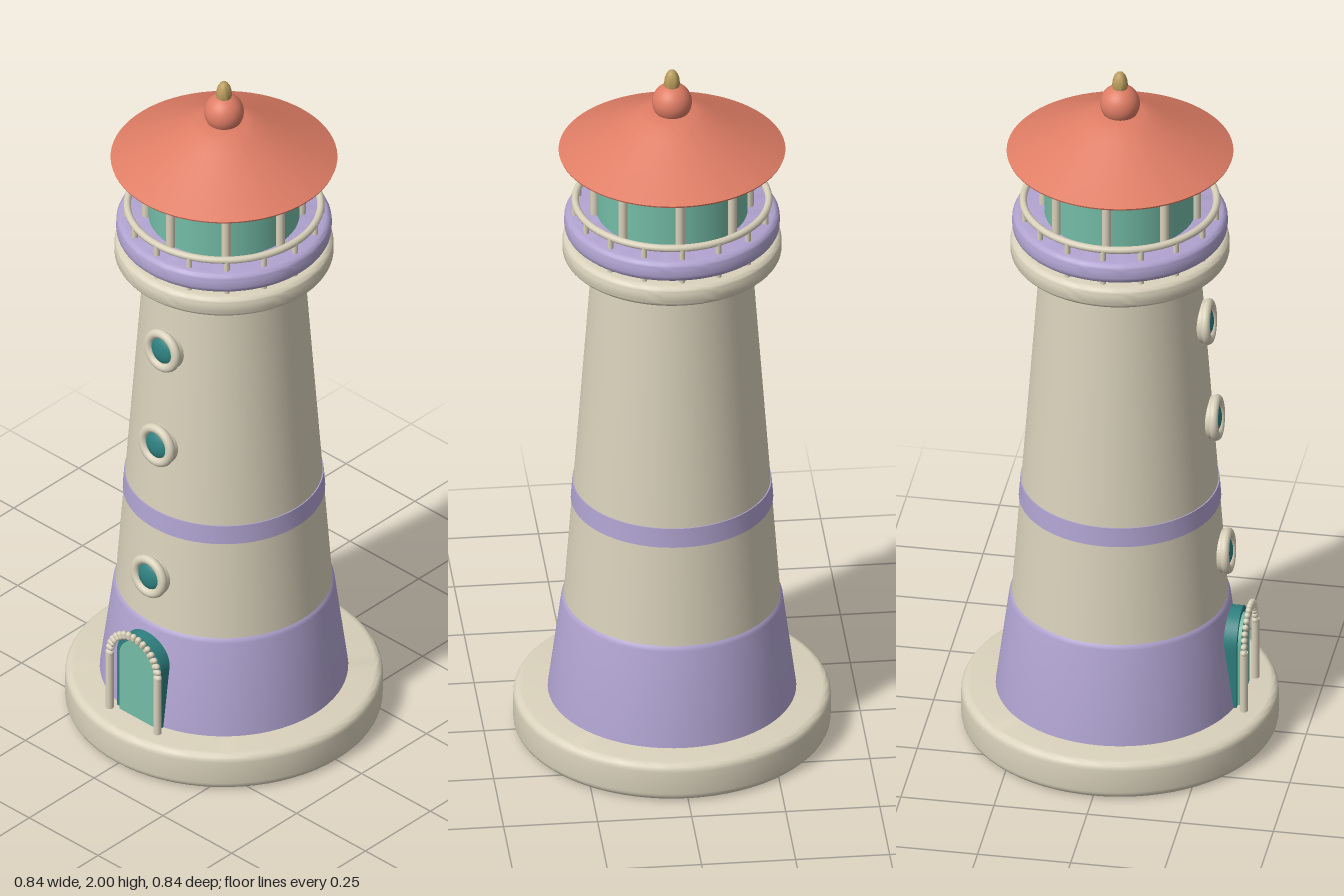
import * as THREE from 'three';
import { toCreasedNormals } from 'three/addons/utils/BufferGeometryUtils.js';

const paint = (name, color) => {
  const m = new THREE.MeshStandardMaterial({ color });
  m.name = name;
  return m;
};

export function createModel() {
  const cream = paint('cream', 0xd9d1bb);
  const lilac = paint('lilac', 0xb0a3d0);
  const coral = paint('coral', 0xdf7d65);
  const mint = paint('mint', 0x74bca6);
  const teal = paint('deep teal', 0x2f8080);
  const gold = paint('gold', 0xb99c5c);

  const model = new THREE.Group();
  model.name = 'lighthouse';

  const add = (name, geometry, material, x = 0, y = 0, z = 0, parent = model) => {
    const mesh = new THREE.Mesh(geometry, material);
    mesh.name = name;
    mesh.position.set(x, y, z);
    parent.add(mesh);
    return mesh;
  };
  // Solid of revolution from [radius, height] pairs, listed bottom to top
  const turned = (pairs) =>
    toCreasedNormals(new THREE.LatheGeometry(pairs.map(([r, y]) => new THREE.Vector2(r, y)), 72), 0.6);
  // Disc with rounded rims
  const disc = (r, y0, y1, b) => {
    const pts = [[0, y0]];
    for (let i = 0; i <= 5; i++) {
      const a = (i / 5) * Math.PI / 2;
      pts.push([r - b + b * Math.sin(a), y0 + b - b * Math.cos(a)]);
    }
    for (let i = 0; i <= 5; i++) {
      const a = (i / 5) * Math.PI / 2;
      pts.push([r - b + b * Math.cos(a), y1 - b + b * Math.sin(a)]);
    }
    pts.push([0, y1]);
    return turned(pts);
  };

  // Tower
  const wall = (y) => 0.286 - (y - 0.4) * 0.073;
  add('base', disc(0.42, 0, 0.11, 0.022), cream);
  add('plinth', turned([[0.33, 0.1], [0.293, 0.385], [0.29, 0.394], [0.284, 0.4], [0, 0.4]]), lilac);
  add('tower', turned([[wall(0.38), 0.38], [wall(1.46), 1.46]]), cream);
  add('stripe', turned([[wall(0.69), 0.69], [wall(0.69) + 0.003, 0.69],
    [wall(0.745) + 0.003, 0.745], [wall(0.745), 0.745]]), lilac);

  // Gallery
  add('gallerySlab', disc(0.29, 1.438, 1.5, 0.02), cream);
  add('galleryDeck', disc(0.285, 1.512, 1.572, 0.02), lilac);
  const rail = add('rail', new THREE.TorusGeometry(0.256, 0.01, 10, 72), cream, 0, 1.603, 0);
  rail.rotation.x = Math.PI / 2;
  const baluster = new THREE.CylinderGeometry(0.008, 0.008, 0.11, 10);
  for (let i = 0; i < 16; i++) {
    const a = (i / 16) * Math.PI * 2;
    add('baluster', baluster, cream, 0.258 * Math.sin(a), 1.55, 0.258 * Math.cos(a));
  }

  // Lantern room
  add('lanternGlass', new THREE.CylinderGeometry(0.2, 0.2, 0.27, 64), mint, 0, 1.63, 0);
  const post = new THREE.CylinderGeometry(0.0125, 0.0125, 0.2, 12);
  for (let i = 0; i < 8; i++) {
    const a = (i / 8) * Math.PI * 2;
    add('lanternPost', post, cream, 0.205 * Math.sin(a), 1.665, 0.205 * Math.cos(a));
  }

  // Roof and finial
  add('roof', turned([[0, 1.752], [0.298, 1.752], [0.3, 1.757], [0.24, 1.787], [0.18, 1.818],
    [0.12, 1.85], [0.085, 1.868], [0.065, 1.875], [0, 1.877]]), coral);
  add('roofBall', new THREE.SphereGeometry(0.053, 32, 20), coral, 0, 1.903, 0);
  add('finial', turned([[0.018, 1.94], [0.021, 1.958], [0.02, 1.972], [0.016, 1.986],
    [0.009, 1.996], [0, 2]]), gold);

  // Round windows, leaning with the wall
  const ring = new THREE.TorusGeometry(0.049, 0.013, 14, 40);
  const pane = new THREE.SphereGeometry(0.042, 28, 16);
  for (const y of [0.545, 0.955, 1.25]) {
    const porthole = new THREE.Group();
    porthole.name = 'window';
    porthole.position.set(0, y, wall(y));
    porthole.rotation.x = -0.073;
    model.add(porthole);
    add('windowRing', ring, cream, 0, 0, 0.014, porthole);
    add('windowPane', pane, teal, 0, 0, 0.006, porthole).scale.z = 0.5;
    // Sleeve joining the ring to the wall
    const sleeve = add('windowSleeve', new THREE.CylinderGeometry(0.058, 0.058, 0.03, 40, 1, true),
      cream, 0, 0, 0, porthole);
    sleeve.rotation.x = Math.PI / 2;
  }

  // Arched door
  const arch = (halfWidth, springY, depth) => {
    const s = new THREE.Shape();
    s.moveTo(-halfWidth, 0.1);
    s.lineTo(halfWidth, 0.1);
    s.lineTo(halfWidth, springY);
    s.absarc(0, springY, halfWidth, 0, Math.PI, false);
    s.closePath();
    return new THREE.ExtrudeGeometry(s, { depth, bevelEnabled: false, curveSegments: 24 });
  };
  add('doorFrame', arch(0.08, 0.288, 0.045), teal, 0, 0, 0.282);
  add('doorPanel', arch(0.063, 0.288, 0.036), mint, 0, 0, 0.3);

  // Door surround: two columns and a ring of arch stones
  const column = new THREE.CylinderGeometry(0.011, 0.011, 0.18, 14);
  for (const side of [-1, 1]) add('doorColumn', column, cream, side * 0.087, 0.2, 0.348);
  const stone = new THREE.CapsuleGeometry(0.0085, 0.008, 4, 10);
  const stones = 17;
  for (let i = 0; i < stones; i++) {
    const a = (i / (stones - 1)) * Math.PI;
    const s = add('archStone', stone, cream, 0.087 * Math.cos(a), 0.288 + 0.087 * Math.sin(a), 0.348);
    s.rotation.z = a - Math.PI / 2;
  }
  return model;
}
